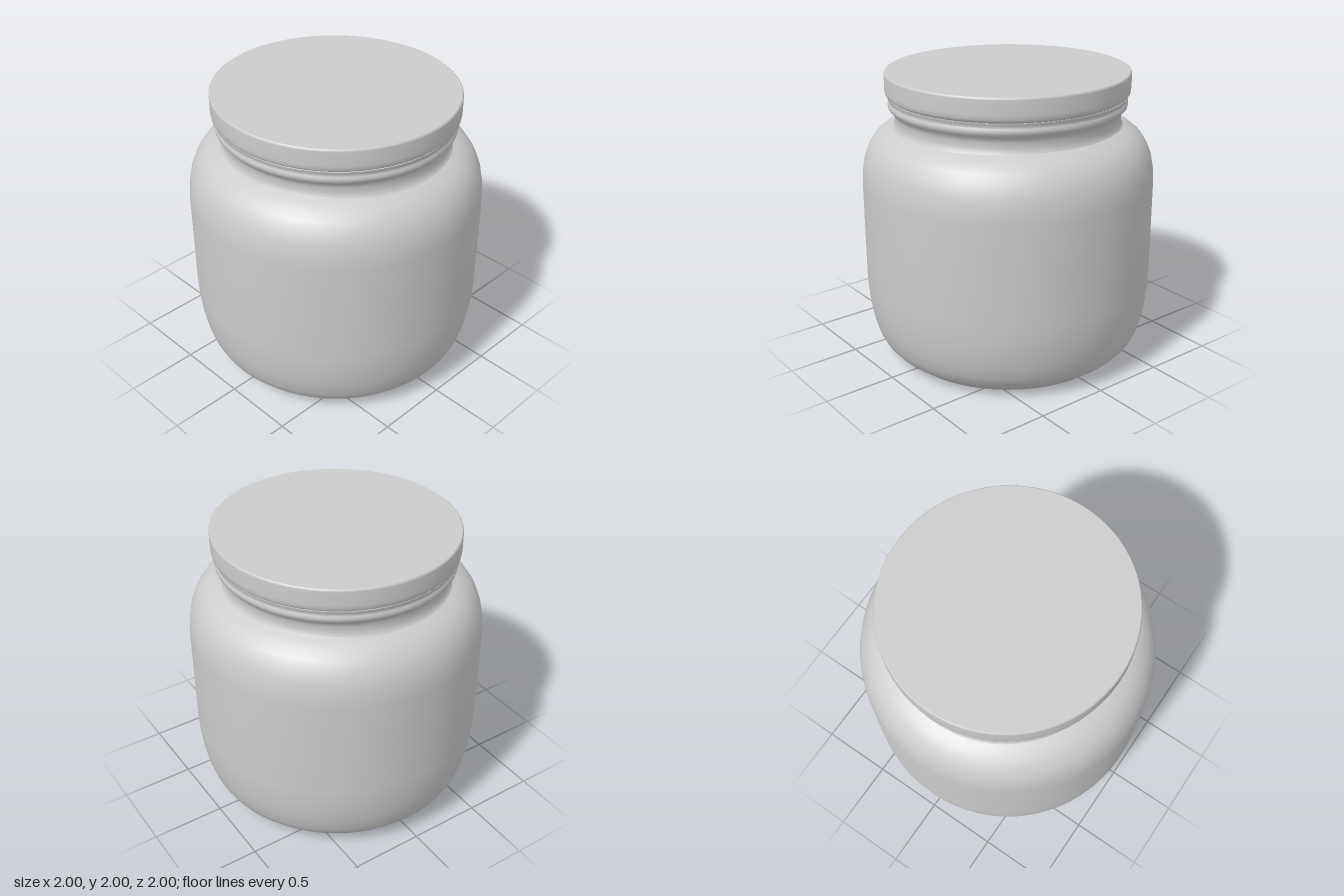
import * as THREE from 'three';

const SEGMENTS = 64;

export function createModel() {
  const group = new THREE.Group();
  group.name = 'jar';
  const grey = new THREE.MeshStandardMaterial({ color: 0xcccccc });
  grey.name = 'plain grey';

  // Revolves a profile listed from the base upward; separate parts keep their edges crisp
  const turn = (name, profile, scaleX = 1) => {
    const points = profile.map(([r, y]) => new THREE.Vector2(r, y));
    const mesh = new THREE.Mesh(new THREE.LatheGeometry(points, SEGMENTS), grey);
    mesh.name = name;
    mesh.scale.x = scaleX;
    group.add(mesh);
  };

  // Flat underside
  turn('base', [[0, 0], [0.77, 0]]);

  // Rounded body with a soft foot and shoulder
  turn('body', [
    [0.77, 0], [0.795, 0.01], [0.825, 0.04], [0.87, 0.07], [0.91, 0.115],
    [0.94, 0.175], [0.965, 0.26], [0.982, 0.35], [0.994, 0.45], [1, 0.57],
    [1, 0.9], [1, 1.25], [0.993, 1.34], [0.978, 1.42], [0.95, 1.49],
    [0.91, 1.55], [0.86, 1.592], [0.81, 1.618], [0.77, 1.635],
  ]);

  // The neck and lid are very slightly narrower across x
  const narrow = 0.984;
  turn('neck', [
    [0.79, 1.626], [0.775, 1.64], [0.769, 1.67], [0.769, 1.705], [0.778, 1.73],
    [0.795, 1.748], [0.81, 1.765], [0.814, 1.785], [0.808, 1.8], [0.803, 1.812],
    [0.812, 1.826], [0.814, 1.84],
  ], narrow);
  turn('lidRim', [
    [0.805, 1.838], [0.818, 1.846], [0.828, 1.862], [0.831, 1.89],
    [0.831, 1.985], [0.828, 1.995], [0.822, 2],
  ], narrow);
  turn('lidTop', [[0.822, 2], [0, 2]], narrow);

  return group;
}
